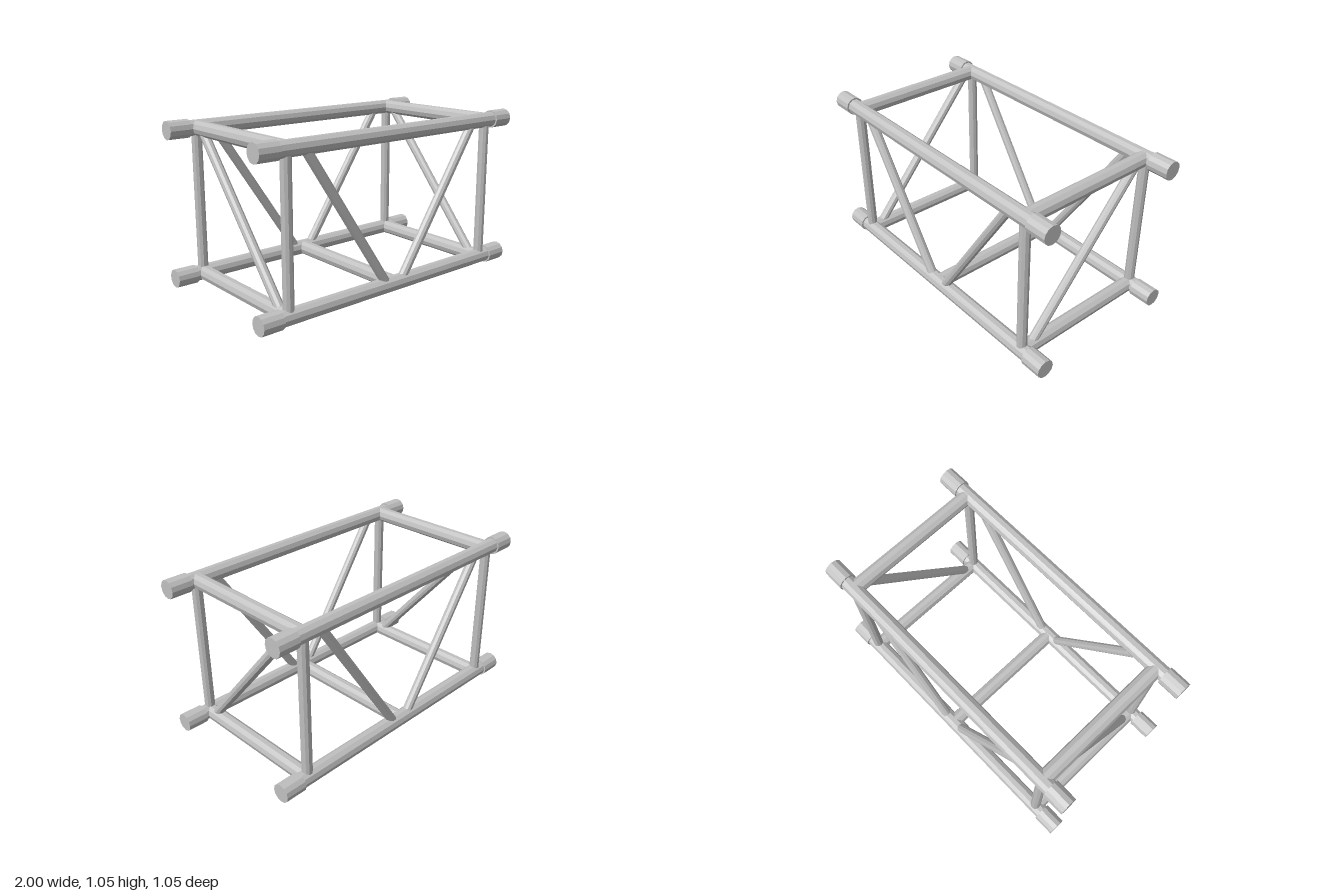
import * as THREE from 'three';

export function createModel() {
  const group = new THREE.Group();
  const steel = new THREE.MeshStandardMaterial({ color: 0xc0c0c0, flatShading: true });
  steel.name = 'steelGrey';
  const up = new THREE.Vector3(0, 1, 0);

  // Straight faceted tube between two points; roll turns the facets about its axis
  function tube(name, from, to, radius, sides = 10, roll = 0) {
    const a = new THREE.Vector3(...from), b = new THREE.Vector3(...to);
    const dir = b.clone().sub(a);
    const geo = new THREE.CylinderGeometry(radius, radius, dir.length(), sides);
    geo.rotateY(roll);
    const mesh = new THREE.Mesh(geo, steel);
    mesh.name = name;
    mesh.position.copy(a).add(b).multiplyScalar(0.5);
    mesh.quaternion.setFromUnitVectors(up, dir.normalize());
    group.add(mesh);
  }

  const low = 0.0585, high = 0.9965, side = 0.468, post = 0.8;
  const quarter = Math.PI / 2;

  for (const z of [side, -side]) {
    // Long chords with thicker end sleeves
    for (const y of [low, high]) {
      tube('chord', [-0.98, y, z], [0.98, y, z], 0.049);
      for (const s of [-1, 1]) tube('endSleeve', [s * 0.86, y, z], [s, y, z], 0.0585, 12);
    }
    // Uprights and the V bracing of each long side
    for (const s of [-1, 1]) {
      tube('upright', [s * post, low, z], [s * post, high, z], 0.0325, 10, quarter);
      tube('sideBrace', [s * 0.056, low, z], [s * 0.682, high, z], 0.03, 10, quarter);
    }
  }

  // Cross bars: top and bottom at both ends, one more at the bottom middle
  for (const [x, y] of [[-post, low], [post, low], [-post, high], [post, high], [0, low]]) {
    tube('crossBar', [x, y, -side], [x, y, side], 0.048, 10, quarter);
  }

  // Diagonal brace in each end frame
  for (const x of [-post, post]) {
    tube('endBrace', [x, low, 0.403], [x, high, -0.398], 0.03, 10, quarter);
  }

  return group;
}
